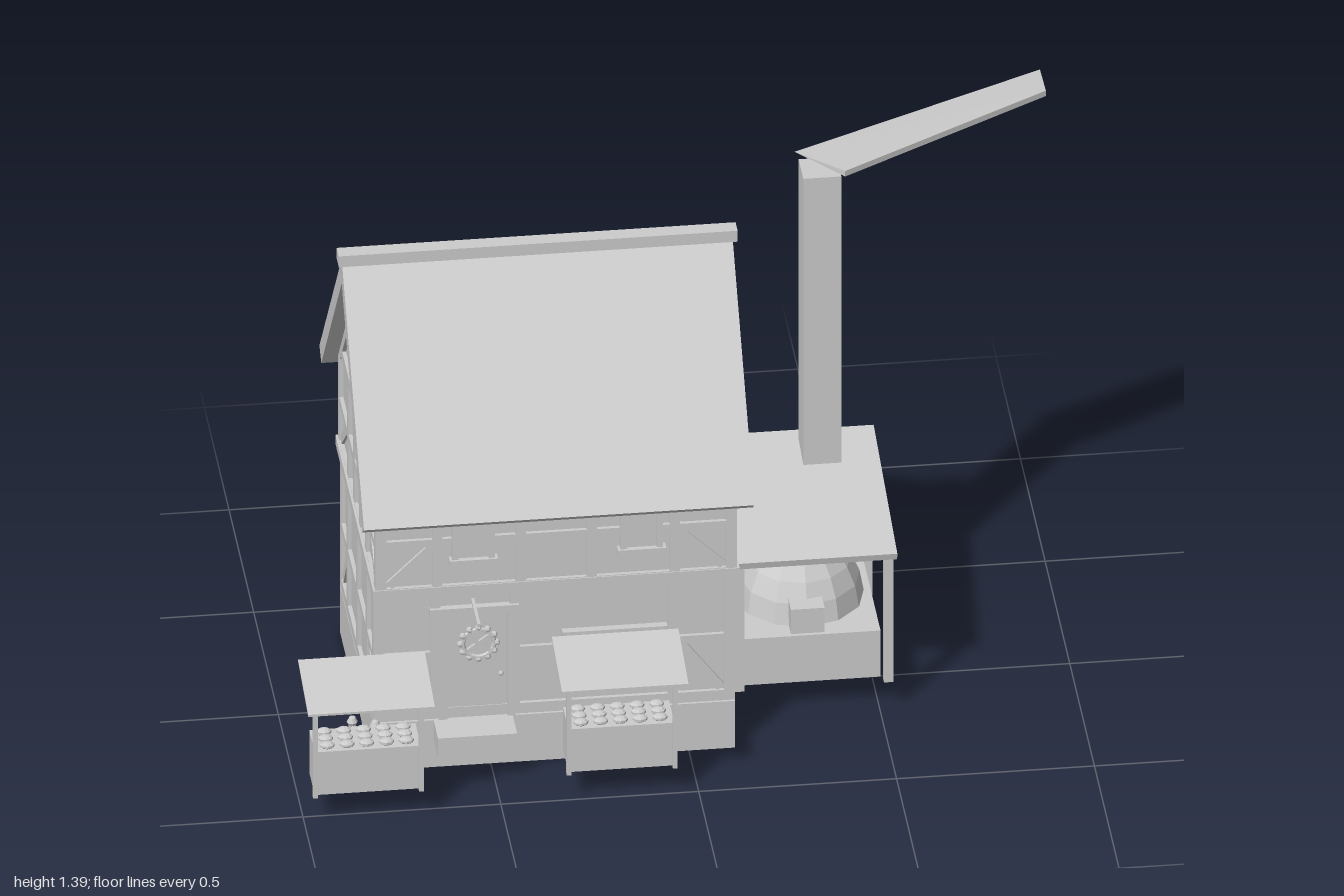
import * as THREE from 'three';

const grey = new THREE.MeshStandardMaterial({ color: 0xcccccc, flatShading: true });
grey.name = 'stoneGrey';

function add(parent, name, geometry) {
  const m = new THREE.Mesh(geometry, grey);
  m.name = name;
  parent.add(m);
  return m;
}

// Box given by its limits on each axis
function box(parent, name, x0, x1, y0, y1, z0, z1) {
  const m = add(parent, name, new THREE.BoxGeometry(x1 - x0, y1 - y0, z1 - z0));
  m.position.set((x0 + x1) / 2, (y0 + y1) / 2, (z0 + z1) / 2);
  return m;
}

// Outline in (z, y), extruded from x0 to x1
function prism(parent, name, points, x0, x1) {
  const shape = new THREE.Shape(points.map(([z, y]) => new THREE.Vector2(z, y)));
  const g = new THREE.ExtrudeGeometry(shape, { depth: x1 - x0, bevelEnabled: false });
  g.rotateY(-Math.PI / 2).translate(x1, 0, 0);
  return add(parent, name, g);
}

// Timber between two points of a wall plane, standing proud towards +z
function beam(parent, u0, y0, u1, y1, w = 0.026, out = 0) {
  const m = add(parent, 'timber', new THREE.BoxGeometry(Math.hypot(u1 - u0, y1 - y0), w, 0.02));
  m.position.set((u0 + u1) / 2, (y0 + y1) / 2, out - 0.01);
  m.rotation.z = Math.atan2(y1 - y0, u1 - u0);
}

function wall(parent, name, x, z, turn) {
  const g = new THREE.Group();
  g.name = name;
  g.position.set(x, 0, z);
  g.rotation.y = turn;
  parent.add(g);
  return g;
}

// Sills, head beams, corner posts and corner braces of one storey
function storeyFrame(g, half, bottom, top, braceRun) {
  beam(g, -half, bottom + 0.014, half, bottom + 0.014, 0.03);
  beam(g, -half, top - 0.014, half, top - 0.014, 0.028);
  const mid = (bottom + top) / 2;
  for (const s of [-1, 1]) {
    beam(g, s * (half - 0.014), bottom, s * (half - 0.014), top, 0.028);
    beam(g, s * (half - 0.035), bottom + 0.035, s * (half - 0.035 - braceRun), mid - 0.01, 0.024, -0.003);
  }
}

const CX = -0.34, CZ = -0.039, HX = 0.457, HZ = 0.339, UZ = 0.38;

function buildHouse() {
  const g = new THREE.Group();
  g.name = 'house';
  box(g, 'foundation', CX - HX, CX + HX, 0, 0.137, CZ - HZ, CZ + HZ);
  const i = 0.01;
  box(g, 'groundFloorWalls', CX - HX + i, CX + HX - i, 0.13, 0.53, CZ - HZ + i, CZ + HZ - i);
  box(g, 'upperFloorWalls', CX - HX + i, CX + HX - i, 0.526, 0.83, CZ - UZ + i, CZ + UZ - i);
  box(g, 'floorBand', CX - HX - 0.006, CX + HX + 0.006, 0.525, 0.552, CZ - UZ - 0.003, CZ + UZ + 0.003);

  // Gable and roof
  prism(g, 'gable', [[CZ - 0.35, 0.82], [CZ + 0.35, 0.82], [CZ, 1.24]], CX - HX + i, CX + HX - i);
  prism(g, 'roof', [[CZ - 0.452, 0.775], [CZ - 0.414, 0.746], [CZ, 1.228], [CZ + 0.414, 0.746],
    [CZ + 0.452, 0.775], [CZ, 1.3]], -0.835, 0.152);
  box(g, 'ridgeCap', -0.845, 0.163, 1.288, 1.32, CZ - 0.021, CZ + 0.021);

  // Side walls
  for (const s of [-1, 1]) {
    const w = wall(g, s > 0 ? 'leftWallTimbers' : 'rightWallTimbers', CX + s * HX, CZ, s * Math.PI / 2);
    storeyFrame(w, HZ, 0.142, 0.525, 0.105);
    beam(w, -HZ, 0.325, HZ, 0.325, 0.022);
    for (const u of [-0.195, 0, 0.195]) beam(w, u, 0.15, u, 0.52);
    storeyFrame(w, UZ, 0.525, 0.848, 0.135);
    beam(w, -UZ, 0.67, UZ, 0.67, 0.022);
    for (const u of [-0.18, -0.06, 0.06, 0.18]) beam(w, u, 0.54, u, 0.83);
    beam(w, 0, 0.84, 0, 1.23);
    for (const k of [-1, 1]) beam(w, k * 0.345, 0.812, 0, 1.214, 0.028);
  }

  // Front and back walls
  for (const s of [-1, 1]) {
    const turn = s > 0 ? 0 : Math.PI;
    const name = s > 0 ? 'frontTimbers' : 'backTimbers';
    const low = wall(g, name + 'Ground', CX, CZ + s * HZ, turn);
    storeyFrame(low, HX, 0.142, 0.525, 0.11);
    for (const k of [-1, 1]) {
      beam(low, k * 0.3, 0.15, k * 0.3, 0.52);
      beam(low, k * HX, 0.325, k * 0.3, 0.325, 0.022);
    }
    if (s > 0) {
      beam(low, -0.1, 0.15, -0.1, 0.52);
      beam(low, -0.1, 0.325, 0.3, 0.325, 0.022);
    } else {
      beam(low, -0.3, 0.325, -0.1, 0.325, 0.022);
      beam(low, 0.12, 0.325, 0.3, 0.325, 0.022);
    }
    const up = wall(g, name + 'Upper', CX, CZ + s * UZ, turn);
    storeyFrame(up, HX, 0.525, 0.848, 0.12);
    beam(up, -HX, 0.68, HX, 0.68, 0.022);
    for (const u of [-0.3, -0.09, 0.09, 0.3]) beam(up, u, 0.54, u, 0.83);
    if (s < 0) beam(up, 0, 0.54, 0, 0.83);
  }
  return g;
}

// Framed window on a front wall
function windowUnit(parent, x, y0, y1, half, z) {
  const g = new THREE.Group();
  g.name = 'window';
  parent.add(g);
  box(g, 'pane', x - half, x + half, y0, y1, z - 0.02, z + 0.002);
  for (const s of [-1, 1]) box(g, 'jamb', x + s * half - 0.008, x + s * half + 0.008, y0, y1, z - 0.02, z + 0.01);
  box(g, 'lintel', x - half - 0.012, x + half + 0.012, y1 - 0.008, y1 + 0.008, z - 0.02, z + 0.012);
  box(g, 'sill', x - half - 0.015, x + half + 0.015, y0 - 0.008, y0 + 0.008, z - 0.02, z + 0.016);
}

function buildFrontDetails() {
  const g = new THREE.Group();
  g.name = 'frontDetails';
  for (const x of [-0.55, -0.125]) windowUnit(g, x, 0.625, 0.75, 0.046, 0.341);
  windowUnit(g, -0.17, 0.27, 0.35, 0.075, 0.3);
  box(g, 'windowHood', -0.32, -0.055, 0.345, 0.375, 0.28, 0.31);

  // Door, step and knob
  box(g, 'door', -0.61, -0.46, 0.14, 0.44, 0.28, 0.298);
  for (const x of [-0.622, -0.448]) box(g, 'doorJamb', x - 0.011, x + 0.011, 0.14, 0.46, 0.28, 0.306);
  box(g, 'doorLintel', -0.655, -0.43, 0.442, 0.464, 0.28, 0.308);
  box(g, 'doorStep', -0.645, -0.445, 0.08, 0.137, 0.29, 0.39);
  add(g, 'doorKnob', new THREE.SphereGeometry(0.007, 6, 5)).position.set(-0.475, 0.265, 0.304);

  // Hanging wreath sign
  const sign = new THREE.Group();
  sign.name = 'hangingSign';
  sign.position.set(-0.545, 0.422, 0.41);
  g.add(sign);
  add(sign, 'ring', new THREE.TorusGeometry(0.04, 0.006, 6, 18));
  for (let k = 0; k < 12; k++) {
    const a = k * Math.PI / 6;
    add(sign, 'bud', new THREE.SphereGeometry(0.009, 6, 4)).position.set(0.046 * Math.cos(a), 0.046 * Math.sin(a), 0);
  }
  for (const s of [-1, 1]) add(sign, 'crossBar', new THREE.BoxGeometry(0.08, 0.01, 0.008)).rotation.z = s * 0.65;
  box(g, 'signBracket', -0.549, -0.541, 0.473, 0.481, 0.29, 0.417);
  return g;
}

// Market stall: counter, loaves, two front posts and a sloping canopy
function buildStall(x, z) {
  const g = new THREE.Group();
  g.name = 'marketStall';
  g.position.set(x, 0, z);
  box(g, 'counter', -0.134, 0.134, 0.08, 0.205, -0.11, 0);
  for (const s of [-1, 1]) box(g, 'post', s * 0.134 - 0.006, s * 0.134 + 0.006, 0.08, 0.372, 0.004, 0.016);
  prism(g, 'canopy', [[0.077, 0.357], [0.077, 0.363], [-0.128, 0.402], [-0.128, 0.396]], -0.16, 0.16);
  for (let r = 0; r < 3; r++) for (let c = 0; c < 5; c++) {
    const loaf = add(g, 'loaf', new THREE.SphereGeometry(0.02, 8, 5));
    loaf.scale.set(1, 0.5, 0.75);
    loaf.position.set((c - 2) * 0.05, 0.211, -0.022 - r * 0.033);
  }
  return g;
}

function buildJars() {
  const g = new THREE.Group();
  g.name = 'jars';
  const profile = [[0, 0], [0.02, 0], [0.024, 0.03], [0.02, 0.058], [0.009, 0.07], [0.009, 0.08], [0.014, 0.09], [0.008, 0.103], [0, 0.105]];
  const geo = new THREE.LatheGeometry(profile.map(p => new THREE.Vector2(...p)), 8);
  for (const [x, z] of [[-0.855, 0.335], [-0.855, 0.385], [-0.8, 0.36]]) add(g, 'jar', geo).position.set(x, 0.08, z);
  return g;
}

function buildOven() {
  const g = new THREE.Group();
  g.name = 'bakeOven';
  box(g, 'ovenBase', 0.145, 0.505, 0.08, 0.215, -0.257, 0.135);
  const profile = [[0.163, 0], [0.152, 0.06], [0.13, 0.11], [0.098, 0.155], [0.06, 0.19], [0.025, 0.211], [0, 0.216]];
  add(g, 'ovenDome', new THREE.LatheGeometry(profile.map(p => new THREE.Vector2(...p)), 12)).position.set(0.325, 0.213, -0.068);
  box(g, 'ovenMouth', 0.28, 0.365, 0.215, 0.286, 0.02, 0.125);
  box(g, 'chimney', 0.348, 0.444, 0.21, 1.367, -0.266, -0.17);

  // Lean-to roof on four posts
  for (const x of [0.145, 0.522]) {
    box(g, 'frontPost', x - 0.012, x + 0.012, 0.08, 0.463, 0.14, 0.165);
    box(g, 'backPost', x - 0.012, x + 0.012, 0.08, 0.543, -0.286, -0.258);
  }
  prism(g, 'leanToRoof', [[0.175, 0.445], [0.18, 0.464], [-0.302, 0.553], [-0.306, 0.533]], 0.118, 0.542);

  // Stacked firewood behind the shed
  const log = new THREE.CylinderGeometry(0.011, 0.011, 0.012, 6).rotateX(Math.PI / 2);
  for (let r = 0; r < 7; r++) for (let c = 0; c < 12; c++) {
    add(g, 'firewood', log).position.set(0.176 + c * 0.0205 + (r % 2) * 0.01, 0.091 + r * 0.019, -0.314);
  }
  return g;
}

// Flat drifting smoke: thin along one edge, thicker along the other
function buildSmoke() {
  const v = [
    [0.34, 1.378, -0.285], [1, 1.378, -0.605],
    [1, 1.388, -0.485], [0.452, 1.388, -0.16],
    [1, 1.372, -0.485], [0.452, 1.372, -0.16],
  ];
  const faces = [[0, 3, 2], [0, 2, 1], [0, 4, 5], [0, 1, 4], [3, 5, 4], [3, 4, 2], [1, 2, 4], [0, 5, 3]];
  const geo = new THREE.BufferGeometry();
  geo.setAttribute('position', new THREE.Float32BufferAttribute(faces.flat().flatMap(k => v[k]), 3));
  geo.computeVertexNormals();
  return geo;
}

export function createModel() {
  const model = new THREE.Group();
  model.name = 'bakery';
  model.add(buildHouse(), buildFrontDetails(), buildOven(), buildJars());
  model.add(buildStall(-0.84, 0.53), buildStall(-0.195, 0.498));
  add(model, 'chimneySmoke', buildSmoke());
  return model;
}
